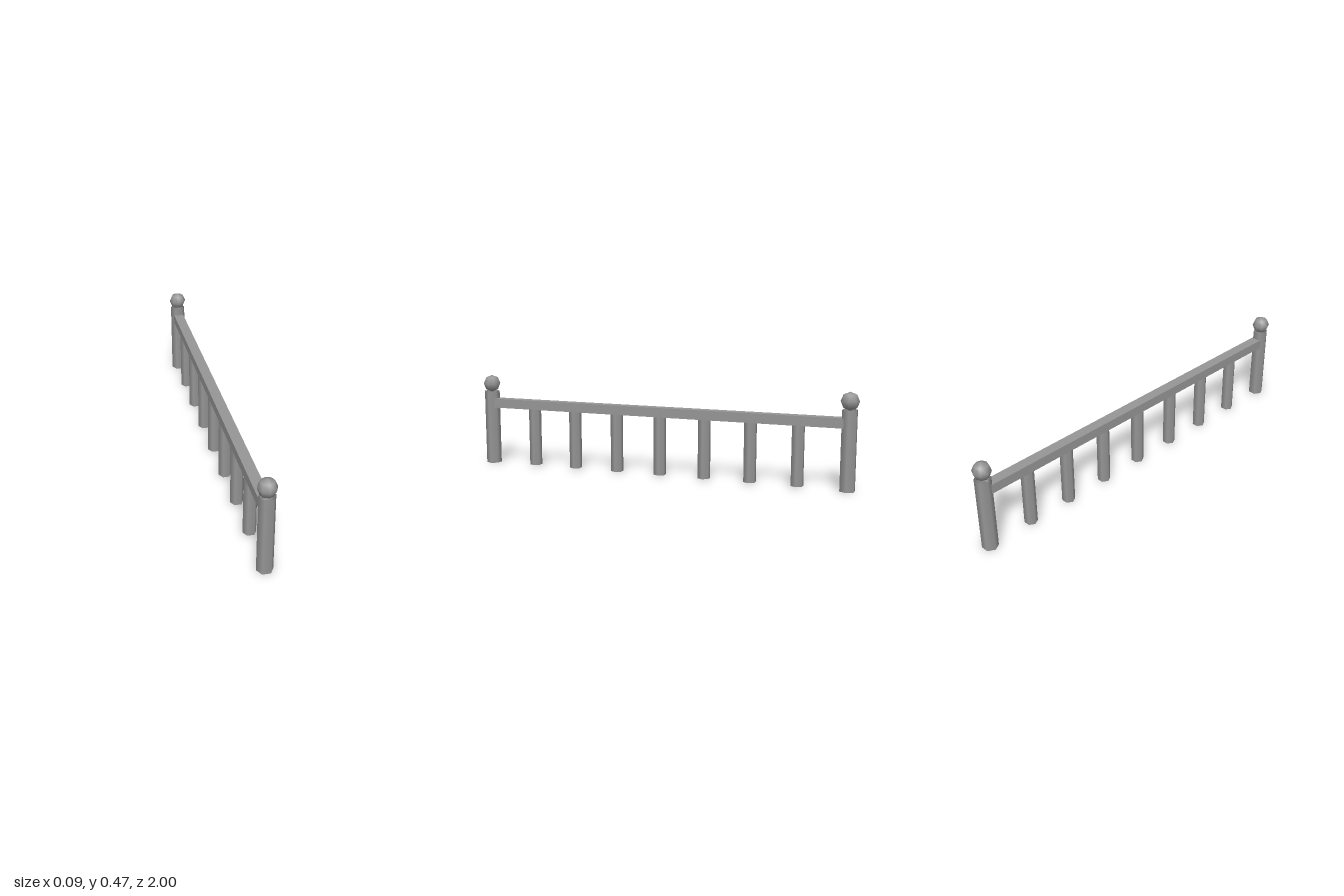
import * as THREE from 'three';

export function createModel() {
  const group = new THREE.Group();
  const grey = new THREE.MeshStandardMaterial({ color: 0x969696, side: THREE.DoubleSide });
  grey.name = 'grey';

  const add = (name, geometry, x, y, z) => {
    const mesh = new THREE.Mesh(geometry, grey);
    mesh.name = name;
    mesh.position.set(x, y, z);
    group.add(mesh);
  };

  // Open six-sided tube with corners on the x axis
  const tube = (radius, height) =>
    new THREE.CylinderGeometry(radius, radius, height, 6, 1, true, Math.PI / 2);

  // End posts with ball finials
  const postGeometry = tube(0.039, 0.39);
  const ballGeometry = new THREE.SphereGeometry(0.045, 8, 4);
  for (const [side, sign] of [['front', 1], ['back', -1]]) {
    add(side + 'Post', postGeometry, 0, 0.195, sign * 0.955);
    add(side + 'Ball', ballGeometry, 0, 0.43, sign * 0.955);
  }

  // Handrail
  add('rail', new THREE.BoxGeometry(0.052, 0.048, 1.862), 0, 0.327, 0);

  // Balusters below the rail
  const balusterGeometry = tube(0.032, 0.3);
  for (let i = -3; i <= 3; i++) {
    add('baluster' + (i + 4), balusterGeometry, 0, 0.156, -0.008 + i * 0.2355);
  }

  return group;
}
